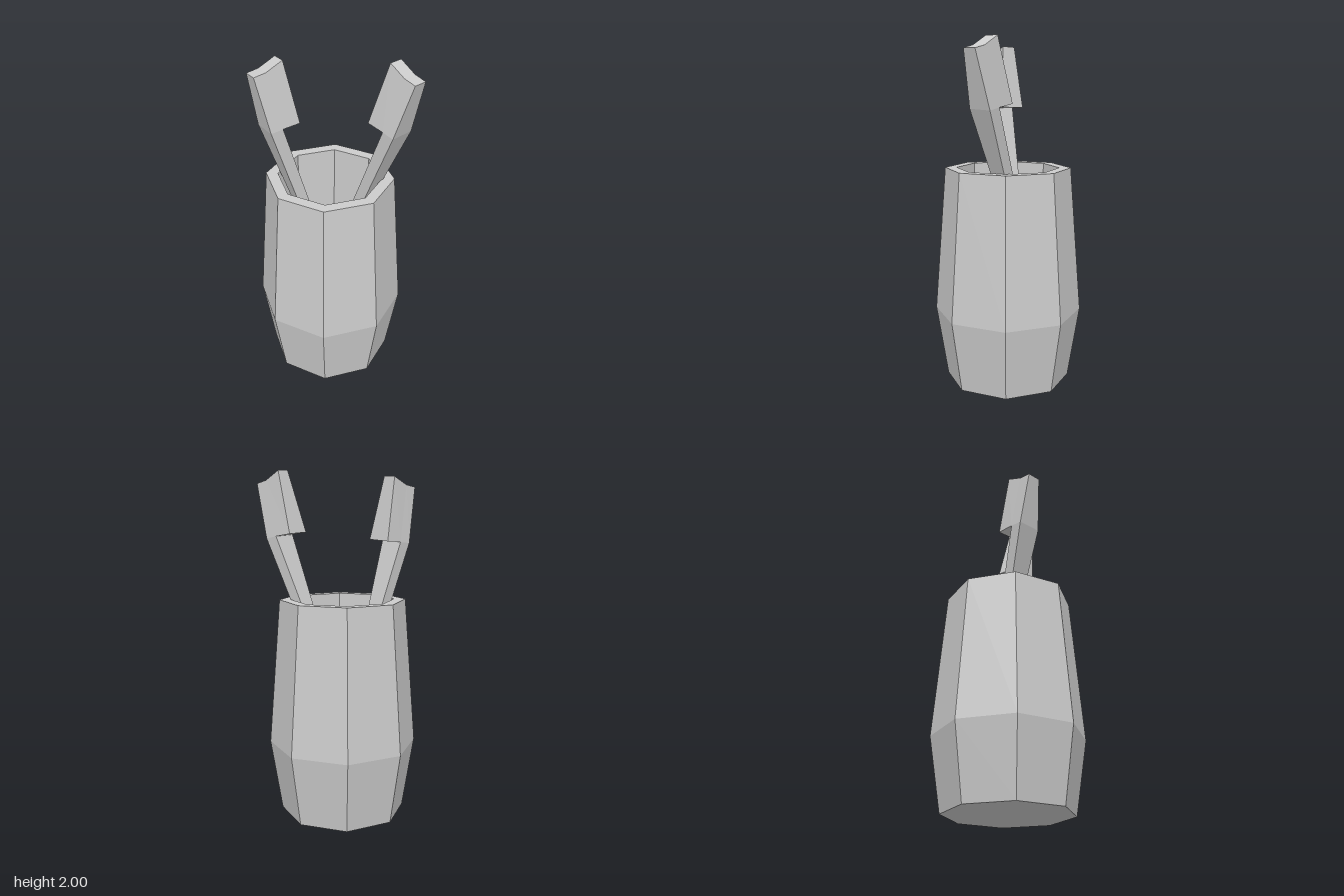
import * as THREE from 'three';

const material = new THREE.MeshStandardMaterial({ color: 0xcccccc, flatShading: true });

// Lofts symmetric sections upward; each section is { w: half width, p: [[z, y], ...] }
function loft(sections) {
  const pos = [];
  const quad = (a, b, c, d) => pos.push(...a, ...b, ...c, ...a, ...c, ...d);
  const rings = sections.map(({ w, p }) => [
    ...p.map(([z, y]) => [w, y, z]),
    ...p.map(([z, y]) => [-w, y, z]).reverse(),
  ]);
  const n = rings[0].length;
  for (let s = 0; s < rings.length - 1; s++) {
    for (let i = 0; i < n; i++) {
      const j = (i + 1) % n;
      quad(rings[s][i], rings[s + 1][i], rings[s + 1][j], rings[s][j]);
    }
  }
  // End caps, made of strips across the width
  const top = rings[rings.length - 1], bottom = rings[0];
  for (let i = 0; i < n / 2 - 1; i++) {
    quad(top[i], top[n - 1 - i], top[n - 2 - i], top[i + 1]);
    quad(bottom[i], bottom[i + 1], bottom[n - 2 - i], bottom[n - 1 - i]);
  }
  const g = new THREE.BufferGeometry();
  g.setAttribute('position', new THREE.Float32BufferAttribute(pos, 3));
  g.computeVertexNormals();
  return g;
}

function part(name, geometry) {
  const mesh = new THREE.Mesh(geometry, material);
  mesh.name = name;
  return mesh;
}

// Brush leaning towards its own +z, bristles on the inner side
function makeBrush(name, position, pitch, yaw, roll) {
  const brush = new THREE.Group();
  brush.name = name;
  brush.add(part('handle', loft([
    { w: 0.048, p: [[-0.075, 0.12], [0, 0.12]] },
    { w: 0.035, p: [[0.035, 1.0], [0.1, 1.0]] },
    { w: 0.073, p: [[0.288, 1.634], [0.36, 1.62]] },
  ])));
  brush.add(part('head', loft([
    { w: 0.073, p: [[0.185, 1.65], [0.288, 1.634], [0.36, 1.62]] },
    { w: 0.041, p: [[0.28, 2.0], [0.375, 1.947], [0.445, 1.93]] },
  ])));
  brush.position.set(...position);
  brush.rotation.set(pitch, yaw, roll, 'YXZ');
  return brush;
}

export function createModel() {
  const model = new THREE.Group();
  model.name = 'brushHolder';

  // Eight-sided cup with a thick rim and hollow inside
  const profile = [
    [0, 0], [0.365, 0], [0.432, 0.42], [0.365, 1.27],
    [0.298, 1.27], [0.275, 0.08], [0, 0.08],
  ].map(([r, y]) => new THREE.Vector2(r, y));
  const cup = part('cup', new THREE.LatheGeometry(profile, 8));
  cup.position.z = -0.016;
  model.add(cup);

  // Two brushes leaning apart
  model.add(makeBrush('frontBrush', [0.089, 0, 0], 0, 0.09, -0.036));
  model.add(makeBrush('sideBrush', [-0.091, -0.05, -0.099], -0.085, -1.7, 0.044));
  return model;
}
